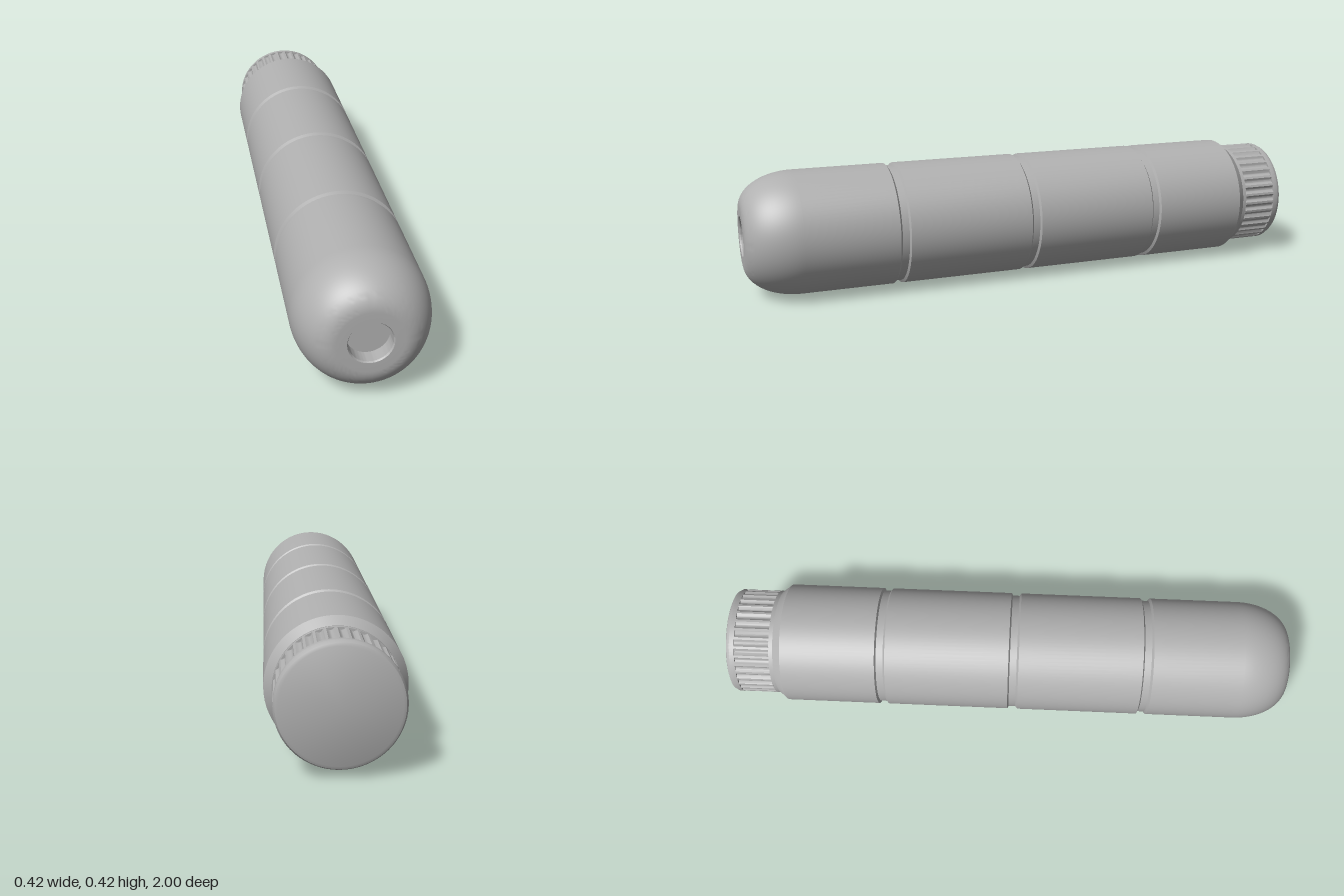
import * as THREE from 'three';
import { toCreasedNormals } from 'three/addons/utils/BufferGeometryUtils.js';

const AXIS_Y = 0.215;
const R = 0.212;
const KNOB_R = 0.187;

// Revolve [radius, z] points (back to front) around the long axis
function revolve(points) {
  const geo = new THREE.LatheGeometry(points.map(([r, z]) => new THREE.Vector2(r, z)), 96);
  geo.rotateX(Math.PI / 2);
  return toCreasedNormals(geo, 0.5);
}

export function createModel() {
  const grey = new THREE.MeshStandardMaterial({ color: 0xb0b0b0 });
  grey.name = 'grey';
  const group = new THREE.Group();
  group.name = 'cylindricalCase';
  const add = (name, geo) => {
    const mesh = new THREE.Mesh(geo, grey);
    mesh.name = name;
    mesh.position.y = AXIS_Y;
    group.add(mesh);
  };

  // Body: chamfered back, three ring grooves, rounded nose, round front recess
  const profile = [[0, -0.832], [0.188, -0.832], [R, -0.802]];
  for (const z of [-0.452, 0.017, 0.486]) {
    profile.push([R, z - 0.018], [R - 0.009, z - 0.013], [R - 0.009, z + 0.011], [R, z + 0.018]);
  }
  const steps = 20;
  for (let i = 0; i <= steps; i++) {
    const a = (i / steps) * Math.PI / 2;
    profile.push([0.1 + 0.112 * Math.cos(a), 0.82 + 0.18 * Math.sin(a)]);
  }
  profile.push([0.069, 1], [0.066, 0.995], [0.066, 0.95], [0, 0.95]);
  add('body', revolve(profile));

  // Smooth rims at both ends of the knob
  add('knobRearRim', revolve([[0, -1], [0.172, -1], [0.181, -0.996], [KNOB_R, -0.985], [KNOB_R, -0.968], [0, -0.968]]));
  add('knobFrontRim', revolve([[0, -0.846], [KNOB_R, -0.846], [KNOB_R, -0.828], [0, -0.828]]));

  // Grip with shallow rounded flutes between the rims
  const flutes = 36;
  const perFlute = 8;
  const outline = [];
  for (let i = 0; i < flutes * perFlute; i++) {
    const a = (i / (flutes * perFlute)) * Math.PI * 2;
    const t = (i % perFlute) / perFlute;
    const dip = t < 0.75 ? Math.sin((t / 0.75) * Math.PI) : 0;
    const r = KNOB_R - 0.008 * dip;
    outline.push(new THREE.Vector2(r * Math.cos(a), r * Math.sin(a)));
  }
  const grip = new THREE.ExtrudeGeometry(new THREE.Shape(outline), { depth: 0.124, bevelEnabled: false });
  grip.translate(0, 0, -0.969);
  add('knobGrip', toCreasedNormals(grip, 0.6));

  return group;
}
